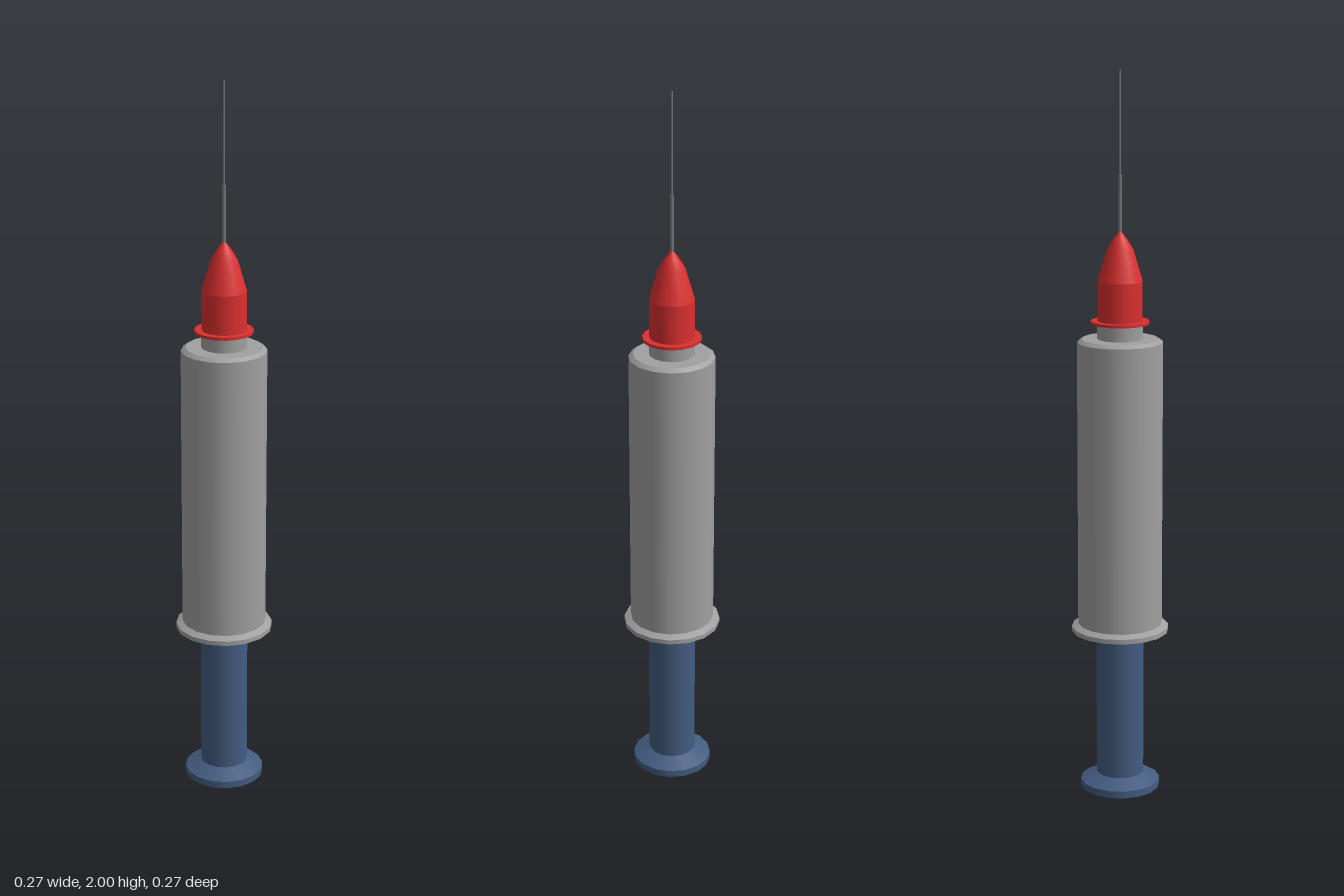
import * as THREE from 'three';
import { mergeGeometries } from 'three/addons/utils/BufferGeometryUtils.js';

const SIDES = 16;

const material = (name, color) => {
  const m = new THREE.MeshStandardMaterial({ color });
  m.name = name;
  return m;
};

// Turns a profile of [radius, height] points, keeping a crisp edge at each point
function turned(name, mat, profile, sides = SIDES) {
  const bands = [];
  for (let i = 0; i < profile.length - 1; i++) {
    const pair = [profile[i], profile[i + 1]].map(([r, y]) => new THREE.Vector2(r, y));
    bands.push(new THREE.LatheGeometry(pair, sides));
  }
  const mesh = new THREE.Mesh(mergeGeometries(bands), mat);
  mesh.name = name;
  return mesh;
}

export function createModel() {
  const grey = material('barrel grey', 0xa0a0a0);
  const blue = material('plunger blue', 0x435c80);
  const red = material('hub red', 0xdb2f2f);
  const steel = material('needle steel', 0x77777c);

  const model = new THREE.Group();
  model.name = 'syringe';

  model.add(
    // Thumb rest and rod, reaching up inside the barrel
    turned('plunger', blue, [
      [0, 0], [0.111, 0], [0.111, 0.02], [0.066, 0.042], [0.066, 0.6], [0, 0.6],
    ]),
    // Hollow barrel with finger flange, shoulder and neck
    turned('barrel', grey, [
      [0, 1.2], [0.074, 1.2], [0.074, 0.46], [0.135, 0.46], [0.135, 0.473],
      [0.117, 0.482], [0.117, 1.275], [0.105, 1.284], [0.062, 1.284], [0.062, 1.325],
    ].map(([r, y], i) => [r, i < 2 ? 0.9 : y])),
    // Grey underside of the hub collar
    turned('collarUnderside', grey, [[0.06, 1.325], [0.08, 1.325]]),
    // Needle hub with collar and pointed nose
    turned('needleHub', red, [
      [0.08, 1.325], [0.08, 1.333], [0.061, 1.333], [0.061, 1.44],
    ]),
  );

  // Smoothly tapering nose of the hub
  const nose = [[0.061, 1.44], [0.036, 1.525], [0.018, 1.555], [0.005, 1.572]];
  const noseMesh = new THREE.Mesh(
    new THREE.LatheGeometry(nose.map(([r, y]) => new THREE.Vector2(r, y)), SIDES), red);
  noseMesh.name = 'hubNose';
  model.add(noseMesh);

  // Needle: thicker base and a thin tip
  model.add(turned('needle', steel, [
    [0.005, 1.56], [0.005, 1.725], [0.003, 1.725], [0.003, 2], [0, 2],
  ], 8));

  return model;
}
